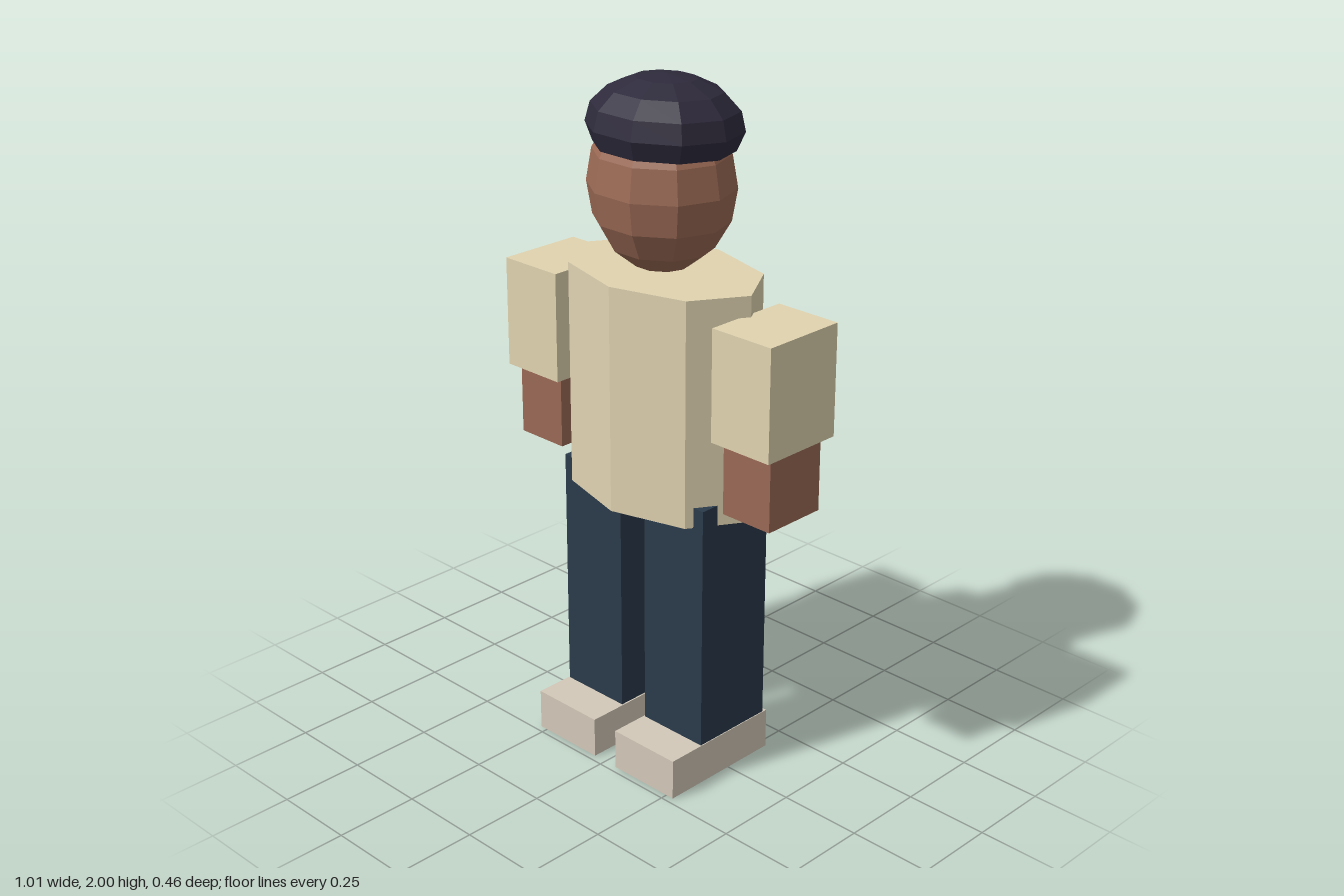
import * as THREE from 'three';

const paint = (color, side = THREE.FrontSide) =>
  new THREE.MeshStandardMaterial({ color, flatShading: true, side });

export function createModel() {
  const model = new THREE.Group();
  const cream = paint(0xe0d3b0);
  const skin = paint(0x9b6a55);
  const navy = paint(0x2b3b4b);
  const stone = paint(0xd3c9b9);
  const dark = paint(0x2e2a3c, THREE.DoubleSide);

  const add = (name, geometry, material, x, y, z) => {
    const mesh = new THREE.Mesh(geometry, material);
    mesh.name = name;
    mesh.position.set(x, y, z);
    model.add(mesh);
    return mesh;
  };
  // Box given by centre x, width, bottom/top y and back/front z
  const box = (name, material, x, w, y0, y1, z0, z1) =>
    add(name, new THREE.BoxGeometry(w, y1 - y0, z1 - z0), material, x, (y0 + y1) / 2, (z0 + z1) / 2);

  // Eight-sided, flattened torso
  const torso = new THREE.CylinderGeometry(0.317, 0.317, 0.66, 8);
  torso.scale(1, 1, 0.675);
  add('torso', torso, cream, 0, 1.13, -0.018);

  // Faceted egg-shaped head
  const head = new THREE.SphereGeometry(1, 10, 8);
  head.scale(0.213, 0.24, 0.195);
  add('head', head, skin, 0, 1.7, -0.004);

  // Cap: open faceted dome curling in below its widest ring, tipped back a little
  const cap = new THREE.SphereGeometry(1, 10, 5, 0, Math.PI * 2, 0, Math.PI * 0.645);
  cap.scale(0.223, 0.136, 0.206);
  add('cap', cap, dark, 0, 1.863, -0.016).rotation.x = -0.04;

  // Mirrored limbs
  for (const [side, s] of [['left', 1], ['right', -1]]) {
    box(side + 'Sleeve', cream, s * 0.402, 0.205, 1.075, 1.4, -0.148, 0.113);
    box(side + 'Forearm', skin, s * 0.402, 0.167, 0.86, 1.2, -0.117, 0.083);
    box(side + 'Leg', navy, s * 0.16, 0.225, 0.11, 0.86, -0.148, 0.113);
    box(side + 'Shoe', stone, s * 0.159, 0.232, 0, 0.122, -0.162, 0.23);
  }
  return model;
}
